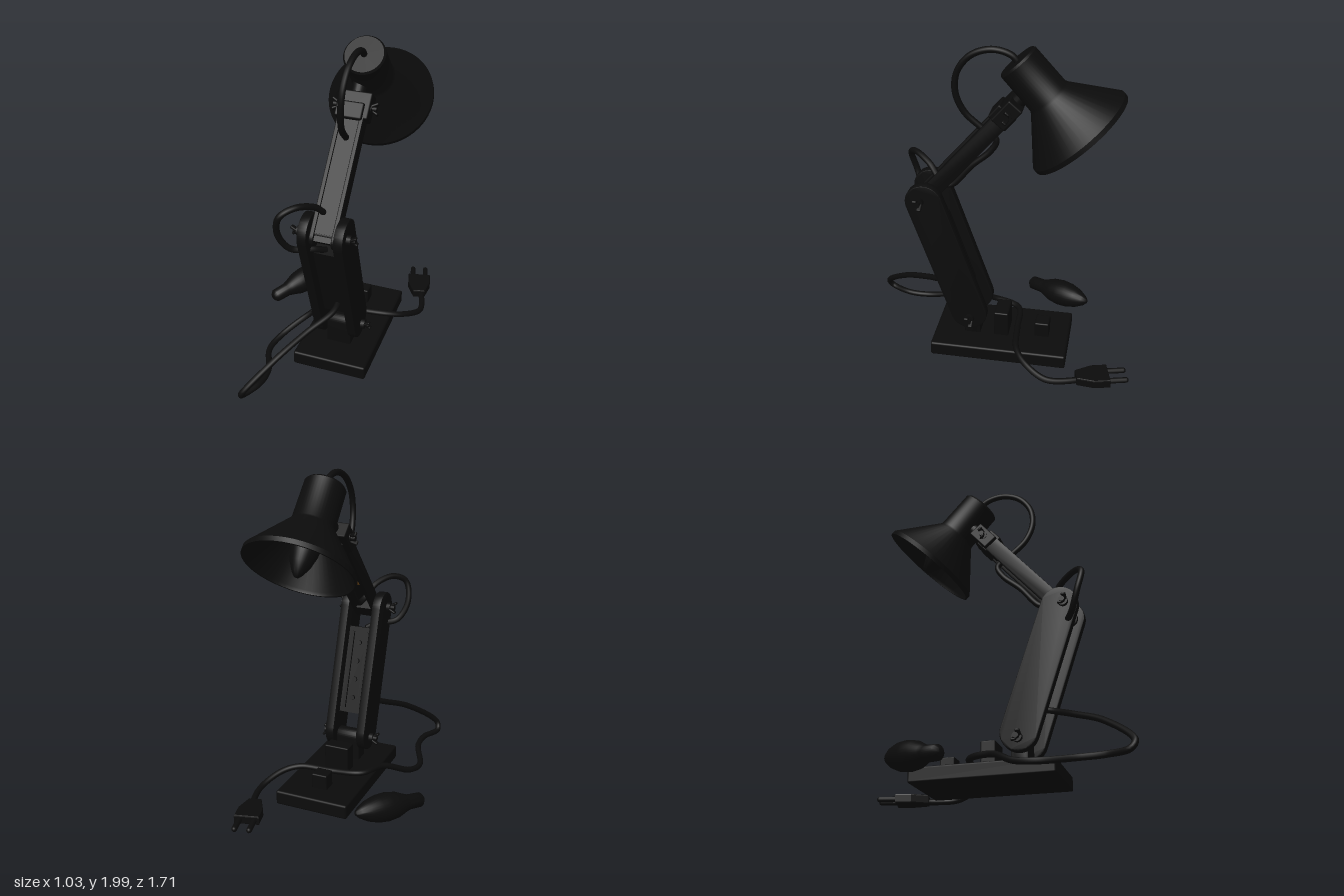
import * as THREE from 'three';
import { toCreasedNormals } from 'three/addons/utils/BufferGeometryUtils.js';
import { RoundedBoxGeometry } from 'three/addons/geometries/RoundedBoxGeometry.js';

const black = new THREE.MeshStandardMaterial({ color: 0x0b0b0b });
const blackOpen = new THREE.MeshStandardMaterial({ color: 0x0b0b0b, side: THREE.DoubleSide });
const wood = new THREE.MeshStandardMaterial({ color: 0x8a5a20 });
const CX = 0.1125; // centre plane of the arms

function add(parent, name, geo, pos = [0, 0, 0], mat = black) {
  const m = new THREE.Mesh(geo, mat);
  m.name = name;
  m.position.set(...pos);
  parent.add(m);
  return m;
}

// Group whose local y axis points along (dy, dz) in the side plane
function tilted(parent, name, pos, dy, dz) {
  const g = new THREE.Group();
  g.name = name;
  g.position.set(...pos);
  g.rotation.x = Math.atan2(dz, dy);
  parent.add(g);
  return g;
}

// Round-ended bar standing in the side plane, from y0 to y1 (end centres)
function bar(y0, y1, r, width) {
  const s = new THREE.Shape();
  s.absarc(0, y1, r, 0, Math.PI, false);
  s.absarc(0, y0, r, Math.PI, Math.PI * 2, false);
  s.closePath();
  const b = 0.006;
  const g = new THREE.ExtrudeGeometry(s, {
    depth: width - 2 * b, bevelEnabled: true, bevelSize: b, bevelOffset: -b,
    bevelThickness: b, bevelSegments: 2, curveSegments: 16,
  });
  g.translate(0, 0, -width / 2 + b).rotateY(Math.PI / 2);
  return toCreasedNormals(g, 0.6);
}

function lathe(points, seg = 40, crease = 0.6) {
  return toCreasedNormals(
    new THREE.LatheGeometry(points.map(p => new THREE.Vector2(...p)), seg), crease);
}

function cable(parent, name, points) {
  const curve = new THREE.CatmullRomCurve3(points.map(p => new THREE.Vector3(...p)));
  add(parent, name, new THREE.TubeGeometry(curve, points.length * 10, 0.019, 10), [0, 0, 0], blackOpen);
}

// Bolt through a joint, with a wing nut at each outer end
function wingBolt(parent, name, pos, half) {
  const g = new THREE.Group();
  g.name = name;
  g.position.set(...pos);
  parent.add(g);
  add(g, 'bolt', new THREE.CylinderGeometry(0.016, 0.016, half * 2 + 0.1, 16).rotateZ(Math.PI / 2));
  for (const s of [-1, 1]) {
    add(g, 'nut', new THREE.CylinderGeometry(0.03, 0.03, 0.025, 16).rotateZ(Math.PI / 2), [s * (half + 0.012), 0, 0]);
    for (const k of [-1, 1]) {
      const w = add(g, 'wing', new RoundedBoxGeometry(0.05, 0.016, 0.03, 2, 0.007),
        [s * (half + 0.037), k * 0.018, k * 0.012]);
      w.rotation.z = s * k * 0.5;
    }
  }
}

// Pear-shaped bulb along local y, from screw base to tip
const bulbProfile = [[0, 0], [0.025, 0], [0.044, 0.02], [0.046, 0.11], [0.055, 0.14], [0.077, 0.2],
  [0.086, 0.27], [0.081, 0.34], [0.062, 0.41], [0.035, 0.465], [0.015, 0.49], [0, 0.495]];

export function createModel() {
  const root = new THREE.Group();
  root.name = 'deskLamp';

  // Base with the joint tongue and two blocks behind it
  add(root, 'base', new RoundedBoxGeometry(0.468, 0.09, 0.85, 2, 0.012), [CX, 0.06, -0.035]);
  add(root, 'baseTongue', bar(0.1, 0.25, 0.05, 0.155), [CX, 0, 0.15]);
  add(root, 'basePost', new RoundedBoxGeometry(0.16, 0.19, 0.09, 2, 0.008), [CX, 0.175, -0.035]);
  add(root, 'rearBlock', new RoundedBoxGeometry(0.1, 0.12, 0.09, 2, 0.008), [CX, 0.14, -0.29]);

  // Lower arm: two wide cheeks joined by a recessed plate
  const lower = tilted(root, 'lowerArm', [CX, 0.29, 0.161], 0.947, 0.32);
  for (const s of [-1, 1]) add(lower, 'cheek', bar(0, 0.803, 0.113, 0.056), [s * 0.107, 0, 0]);
  add(lower, 'spacerPlate', new THREE.BoxGeometry(0.16, 0.56, 0.09), [0, 0.39, 0]);
  for (const s of [-1, 1])
    add(lower, 'plateRib', new THREE.BoxGeometry(0.02, 0.5, 0.02), [s * 0.05, 0.39, -0.05]);
  for (let i = 0; i < 4; i++)
    add(lower, 'plateStud', new THREE.CylinderGeometry(0.016, 0.016, 0.02, 16).rotateX(Math.PI / 2),
      [0, 0.21 + i * 0.12, -0.05]);

  // Upper arm: channel with rails, a recessed front web and a wooden core
  const upper = tilted(root, 'upperArm', [CX, 1.05, 0.43], 0.756, -0.655);
  for (const s of [-1, 1]) add(upper, 'rail', bar(-0.02, 0.7, 0.05, 0.025), [s * 0.065, 0, 0]);
  add(upper, 'frontWeb', new THREE.BoxGeometry(0.11, 0.7, 0.02), [0, 0.35, 0.028]);
  add(upper, 'woodCore', new THREE.BoxGeometry(0.1, 0.34, 0.012), [0, 0.42, 0.012], wood);
  for (const y of [0.0, 0.68])
    add(upper, 'endBlock', new THREE.BoxGeometry(0.11, 0.09, 0.07), [0, y, -0.005]);

  // Bracket between the upper arm and the shade
  add(upper, 'headBracket', new RoundedBoxGeometry(0.2, 0.16, 0.1, 2, 0.01), [0, 0.76, 0]);
  add(upper, 'headCollar', new RoundedBoxGeometry(0.14, 0.1, 0.13, 2, 0.01), [0, 0.72, 0.005]);
  add(upper, 'headNeck', new THREE.CylinderGeometry(0.045, 0.045, 0.16, 20), [0, 0.86, 0]);

  // Wing bolts at the joints
  wingBolt(root, 'elbowBolt', [CX, 1.06, 0.445], 0.135);
  wingBolt(root, 'baseBolt', [CX, 0.255, 0.155], 0.135);
  wingBolt(upper, 'headBolt', [0, 0.76, 0], 0.08);

  // Lamp head: thin conical shade with a closed socket housing
  const head = tilted(root, 'lampHead', [0.145, 1.523, -0.476], 0.744, 0.668);
  add(head, 'shade', lathe([[0.115, 0.3], [0.125, 0.262], [0.312, 0.022], [0.316, 0], [0.326, 0],
    [0.326, 0.028], [0.134, 0.27], [0.126, 0.285], [0.123, 0.53], [0.113, 0.542], [0, 0.542]], 48),
  [0, 0, 0], blackOpen);
  add(head, 'socket', new THREE.CylinderGeometry(0.06, 0.06, 0.14, 24), [0, 0.4, 0]);
  add(head, 'socketFloor', new THREE.CylinderGeometry(0.118, 0.118, 0.02, 32), [0, 0.31, 0]);
  add(head, 'fittedBulb', lathe(bulbProfile, 32, 0.9), [0, 0.45, 0]).rotation.x = Math.PI;

  // Spare bulb lying beside the base
  const spare = add(root, 'spareBulb', lathe(bulbProfile, 32, 0.9), [-0.485, 0.065, -0.135]);
  spare.quaternion.setFromUnitVectors(new THREE.Vector3(0, 1, 0),
    new THREE.Vector3(0.27, 0.07, -0.415).normalize());

  // Cables: mains lead, elbow loop and head loop
  cable(root, 'mainsLead', [[0.43, 0.04, -0.6], [0.47, 0.04, -0.52], [0.5, 0.05, -0.36], [0.43, 0.1, -0.22],
    [0.33, 0.125, -0.155], [0.12, 0.125, -0.13], [-0.07, 0.14, -0.11], [-0.16, 0.13, 0.05],
    [-0.28, 0.05, 0.2], [-0.31, 0.03, 0.33], [-0.225, 0.055, 0.545], [-0.225, 0.06, 0.68],
    [-0.28, 0.065, 0.81], [-0.265, 0.11, 0.835], [-0.11, 0.28, 0.66], [0.01, 0.37, 0.48],
    [0.12, 0.44, 0.33], [0.13, 0.47, 0.22]]);
  cable(root, 'elbowCable', [[0.1, 0.92, 0.38], [0.05, 0.945, 0.43], [-0.07, 0.965, 0.5], [-0.125, 1.08, 0.55],
    [-0.1, 1.21, 0.575], [-0.03, 1.25, 0.52], [0.05, 1.215, 0.42], [0.1, 1.13, 0.34],
    [CX, 1.12, 0.28], [CX, 1.26, 0.15], [CX, 1.36, 0.04], [CX, 1.43, 0.005], [CX, 1.48, 0.05]]);
  cable(root, 'headCable', [[CX, 1.46, 0.04], [CX, 1.51, 0.1], [0.12, 1.6, 0.19], [0.13, 1.72, 0.235],
    [0.135, 1.84, 0.22], [0.14, 1.94, 0.14], [0.145, 1.98, 0.02], [0.145, 1.95, -0.09], [0.145, 1.88, -0.14]]);

  // Two-pin plug
  const plug = new THREE.Group();
  plug.name = 'plug';
  plug.position.set(0.42, 0.045, -0.64);
  plug.rotation.y = 0.25;
  root.add(plug);
  const outline = new THREE.Shape([[-0.07, 0.09], [0.07, 0.09], [0.07, 0], [0.035, -0.1], [-0.035, -0.1],
    [-0.07, 0]].map(p => new THREE.Vector2(...p)));
  const body = new THREE.ExtrudeGeometry(outline, { depth: 0.04, bevelSize: 0.006, bevelThickness: 0.008, bevelSegments: 2 });
  add(plug, 'plugBody', body.translate(0, 0, -0.02).rotateX(-Math.PI / 2));
  for (const s of [-1, 1])
    add(plug, 'pin', new THREE.CapsuleGeometry(0.017, 0.12, 4, 12).rotateX(Math.PI / 2), [s * 0.044, 0, -0.135]);

  return root;
}
